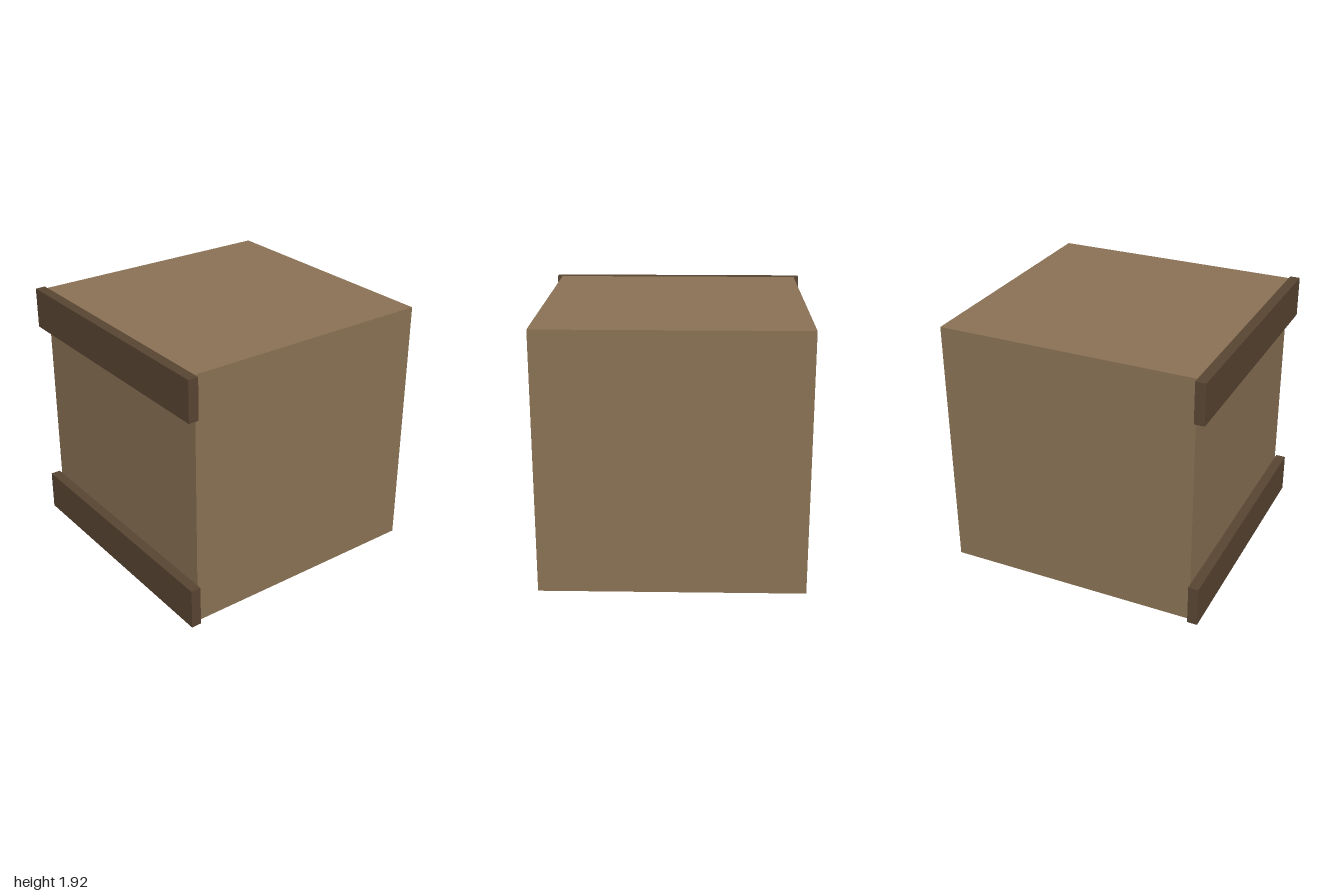
import * as THREE from 'three';

const SIZE = 1.923;            // crate edge length
const FRONT = -1 + SIZE;       // z of the front wall

export function createModel() {
  const model = new THREE.Group();
  model.name = 'crate';

  const wood = new THREE.MeshStandardMaterial({ color: 0x8b7355, side: THREE.DoubleSide });
  wood.name = 'light wood';
  const darkWood = new THREE.MeshStandardMaterial({ color: 0x5a4634 });
  darkWood.name = 'dark wood';

  // Thin-walled body, open underneath: drop the box's bottom face
  const shell = new THREE.BoxGeometry(SIZE, SIZE, SIZE);
  const bottom = shell.groups[3];
  const index = Array.from(shell.index.array);
  index.splice(bottom.start, bottom.count);
  shell.setIndex(index);
  shell.clearGroups();
  const body = new THREE.Mesh(shell, wood);
  body.name = 'body';
  body.position.set(0, SIZE / 2, -1 + SIZE / 2);
  model.add(body);

  // Planks across the front, a hair off the wall so the surfaces do not coincide
  const height = 0.308;
  const back = FRONT + 0.001;
  const plank = new THREE.BoxGeometry(2, height, 1 - back);
  for (const [name, y] of [['lowerPlank', height / 2], ['upperPlank', SIZE - height / 2]]) {
    const mesh = new THREE.Mesh(plank, darkWood);
    mesh.name = name;
    mesh.position.set(0, y, (1 + back) / 2);
    model.add(mesh);
  }

  return model;
}
